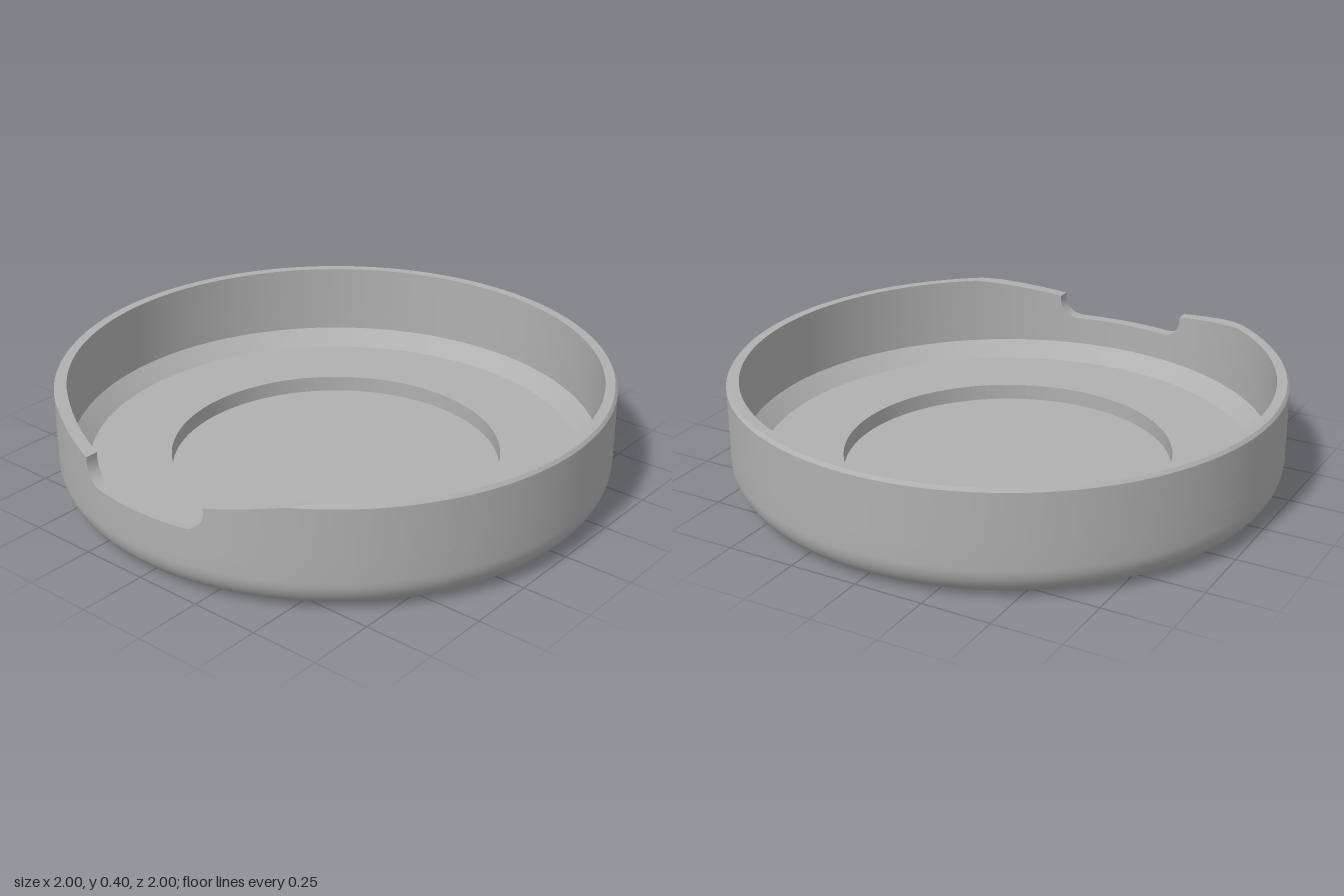
import * as THREE from 'three';
import { toCreasedNormals } from 'three/addons/utils/BufferGeometryUtils.js';

const OUTER = 1, INNER = 0.955, TOP = 0.4, BASE = 0.2; // BASE: where the wall joins the dish
const SLOPE_X = 0.575, NOTCH_X = 0.265, NOTCH_Y = 0.25, FILLET = 0.075;

// Right half of the front cut-out as [x, height], from the middle outwards
function cutHalf() {
  const pts = [];
  for (let i = 0; i < 6; i++) pts.push([(NOTCH_X - FILLET) * i / 6, NOTCH_Y]);
  for (let i = 0; i <= 8; i++) {
    const a = Math.PI / 2 * i / 8;
    pts.push([NOTCH_X - FILLET + FILLET * Math.sin(a), NOTCH_Y + FILLET * (1 - Math.cos(a))]);
  }
  for (let i = 0; i <= 10; i++) {
    pts.push([NOTCH_X + (SLOPE_X - NOTCH_X) * i / 10, 0.34 + (TOP - 0.34) * i / 10]);
  }
  return pts;
}

// Wall: cross-sections lofted round the rim, the cut running straight along z
function wallGeometry() {
  const half = cutHalf();
  const left = half.slice(1).reverse().map(([x, h]) => [-x, h]);
  const columns = [...left, ...half].map(([x, h]) => ({ h, at: (r) => Math.asin(x / r) }));
  const steps = 130;
  for (let i = 1; i <= steps; i++) {
    columns.push({
      h: TOP,
      at: (r) => {
        const a = Math.asin(SLOPE_X / r);
        return a + (2 * Math.PI - 2 * a) * i / steps;
      },
    });
  }
  const positions = [], index = [], n = 5;
  for (const { h, at } of columns) {
    const edge = Math.min(h, TOP - 0.012);
    const section = [[OUTER, BASE], [OUTER, edge], [OUTER - (h - edge) * 0.8, h], [INNER, h], [INNER, BASE]];
    for (const [r, y] of section) positions.push(r * Math.sin(at(r)), y, r * Math.cos(at(r)));
  }
  for (let i = 0; i < columns.length - 1; i++) {
    for (let j = 0; j < n - 1; j++) {
      const a = i * n + j, b = a + n;
      index.push(a, b, b + 1, a, b + 1, a + 1);
    }
  }
  const g = new THREE.BufferGeometry();
  g.setAttribute('position', new THREE.Float32BufferAttribute(positions, 3));
  g.setIndex(index);
  return toCreasedNormals(g, 0.45);
}

function lathe(points) {
  const g = new THREE.LatheGeometry(points.map(([r, y]) => new THREE.Vector2(r, y)), 160);
  return toCreasedNormals(g, 0.45);
}

export function createModel() {
  const group = new THREE.Group();
  const grey = new THREE.MeshStandardMaterial({ color: 0xb0b0b0 });
  grey.name = 'grey';
  const add = (name, geometry) => {
    const mesh = new THREE.Mesh(geometry, grey);
    mesh.name = name;
    group.add(mesh);
  };

  // Underside with a rounded bottom edge
  const R = 0.12, outside = [[0, 0]];
  for (let i = 0; i <= 12; i++) {
    const a = Math.PI / 2 * i / 12;
    outside.push([OUTER - R + R * Math.sin(a), R - R * Math.cos(a)]);
  }
  outside.push([OUTER, BASE]);
  add('roundedBase', lathe(outside));

  // Inside: wall foot, sloped ledge, floor and round recess
  add('innerFloor', lathe([
    [INNER, BASE], [INNER, 0.14], [0.895, 0.08], [0.6, 0.08], [0.6, 0.02], [0, 0.02],
  ]));

  // Thin wall with the front notch
  add('notchedWall', wallGeometry());
  return group;
}
